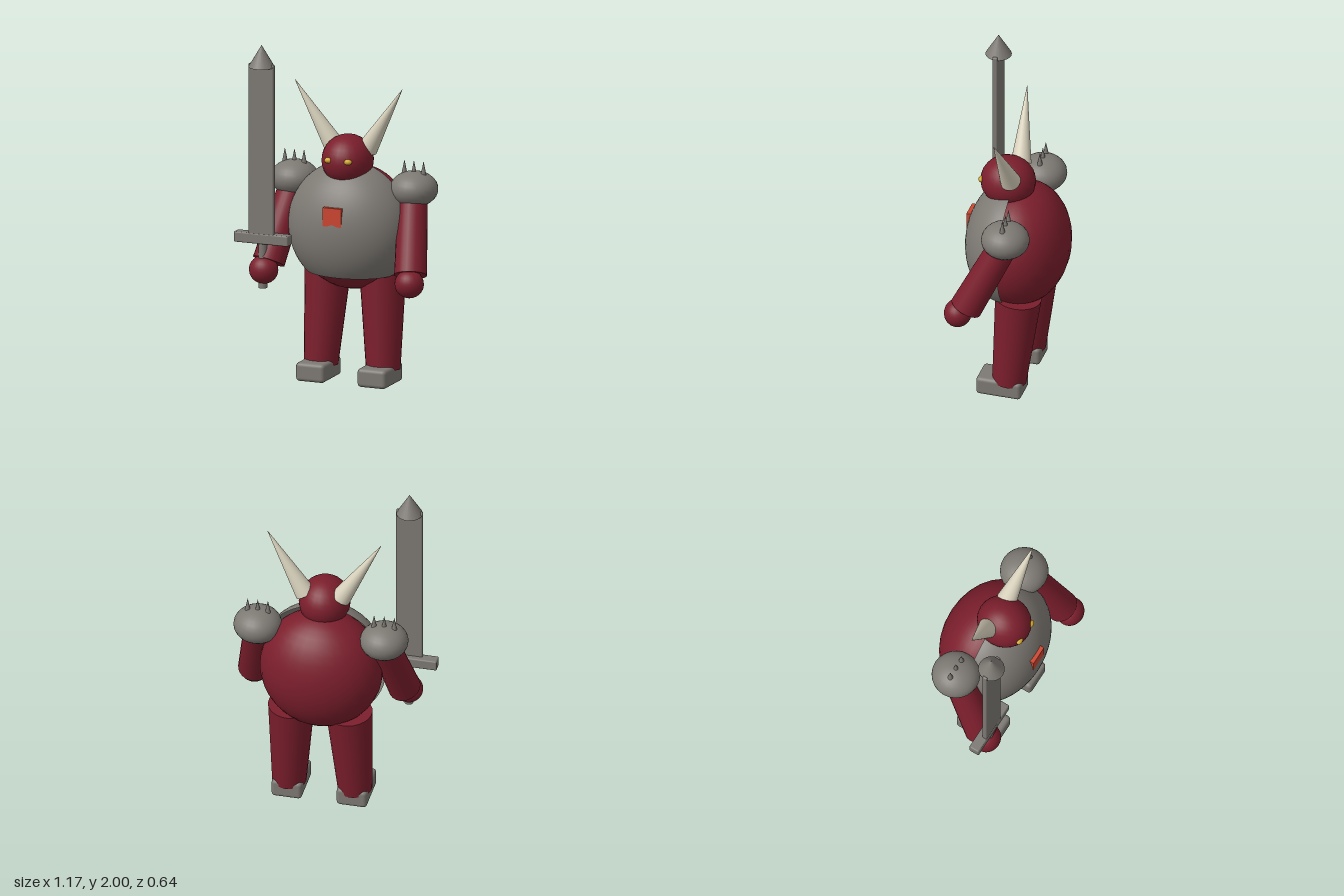
import * as THREE from 'three';
import { RoundedBoxGeometry } from 'three/addons/geometries/RoundedBoxGeometry.js';

const mat = (name, color, side = THREE.FrontSide) => {
  const m = new THREE.MeshStandardMaterial({ color, side });
  m.name = name;
  return m;
};

export function createModel() {
  const red = mat('crimson skin', 0x7b1e2c);
  const steel = mat('grey steel', 0x7d7973, THREE.DoubleSide);
  const bone = mat('ivory horn', 0xd6cfba);
  const gold = mat('golden eye', 0xd0a52c);
  const orange = mat('orange emblem', 0xcc4630);

  const model = new THREE.Group();
  model.name = 'hornedWarrior';
  // The figure stands slightly off centre because the sword widens one side
  const figure = new THREE.Group();
  figure.name = 'figure';
  figure.position.x = 0.04;
  model.add(figure);

  const add = (name, geometry, material, pos = [0, 0, 0], parent = figure) => {
    const mesh = new THREE.Mesh(geometry, material);
    mesh.name = name;
    mesh.position.set(...pos);
    parent.add(mesh);
    return mesh;
  };
  const ball = (name, r, material, pos, w = 24, h = 16) =>
    add(name, new THREE.SphereGeometry(1, w, h).scale(...r), material, pos);
  // Tapered limb running from point a (radius ra) to point b (radius rb)
  const limb = (name, a, b, ra, rb, material) => {
    const from = new THREE.Vector3(...a), to = new THREE.Vector3(...b);
    const dir = to.clone().sub(from);
    const mesh = add(name, new THREE.CylinderGeometry(rb, ra, dir.length(), 24), material);
    mesh.position.copy(from).addScaledVector(dir, 0.5);
    mesh.quaternion.setFromUnitVectors(new THREE.Vector3(0, 1, 0), dir.normalize());
    return mesh;
  };

  // Torso and open breastplate shell
  ball('body', [0.36, 0.37, 0.28], red, [0, 0.91, -0.04], 28, 20);
  add('breastplate',
    new THREE.SphereGeometry(1, 28, 24, 0, Math.PI, 0, Math.PI * 0.75).scale(0.375, 0.385, 0.285),
    steel, [0, 0.92, 0]);
  add('emblem', new THREE.BoxGeometry(0.115, 0.11, 0.03), orange, [0, 1.025, 0.266]);

  // Head
  ball('head', [0.15, 0.15, 0.162], red, [0, 1.32, 0.046]);

  for (const [label, s] of [['left', 1], ['right', -1]]) {
    // Face and horns
    ball(label + 'Eye', [0.025, 0.017, 0.018], gold, [s * 0.061, 1.34, 0.188], 16, 12);
    limb(label + 'Horn', [s * 0.105, 1.385, 0], [s * 0.337, 1.763, 0.033], 0.06, 0.001, bone);

    // Shoulder guard with three spikes
    ball(label + 'ShoulderGuard', [0.141, 0.105, 0.141], steel, [s * 0.375, 1.16, -0.05]);
    for (const i of [-1, 0, 1]) {
      add(label + 'ShoulderSpike', new THREE.ConeGeometry(0.02, 0.1, 12), steel,
        [s * 0.375 + i * 0.06, 1.28, -0.05]);
    }

    // Arm and hand
    limb(label + 'Arm', [s * 0.37, 1.14, -0.05], [s * 0.445, 0.7, 0.165], 0.085, 0.095, red);
    ball(label + 'Hand', [0.086, 0.083, 0.08], red, [s * 0.457, 0.66, 0.212]);

    // Leg and boot
    limb(label + 'Leg', [s * 0.172, 0.64, -0.067], [s * 0.195, 0.08, -0.02], 0.135, 0.1, red);
    add(label + 'Boot', new RoundedBoxGeometry(0.18, 0.11, 0.27, 3, 0.022), steel,
      [s * 0.193, 0.056, 0.024]);
  }

  // Sword held upright in the right hand
  const sword = new THREE.Group();
  sword.name = 'sword';
  sword.position.set(-0.417, 0, 0.235);
  model.add(sword);
  add('grip', new THREE.CylinderGeometry(0.026, 0.026, 0.32, 16), steel, [0, 0.715, -0.012], sword);
  add('crossguard', new RoundedBoxGeometry(0.34, 0.062, 0.064, 2, 0.008), steel, [0, 0.85, -0.008], sword);
  add('blade', new RoundedBoxGeometry(0.158, 1.04, 0.03, 2, 0.008), steel, [0, 1.367, 0.007], sword);
  add('bladeTip', new THREE.ConeGeometry(0.077, 0.13, 20), steel, [0, 1.935, 0.007], sword);

  return model;
}
